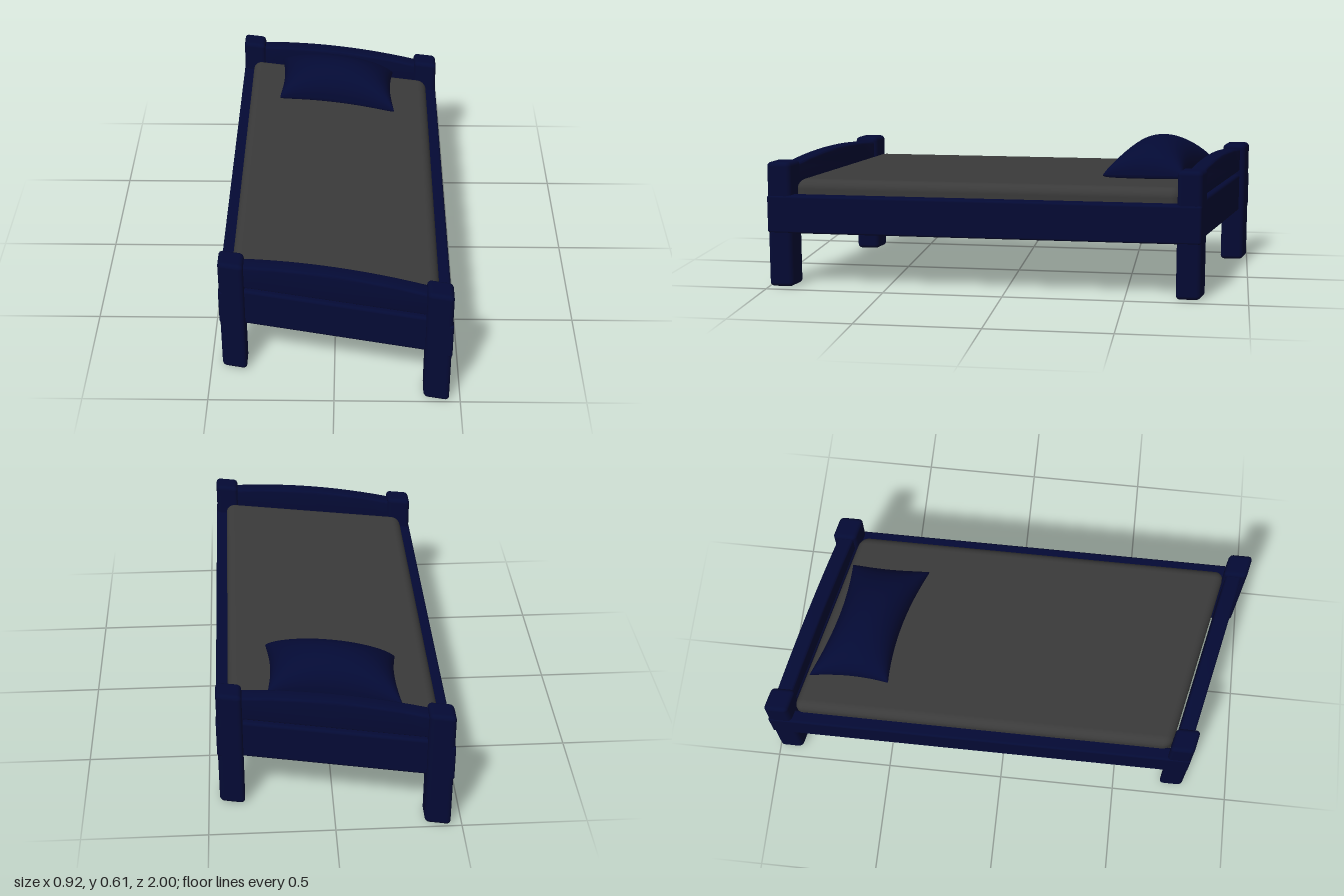
import * as THREE from 'three';
import { RoundedBoxGeometry } from 'three/addons/geometries/RoundedBoxGeometry.js';
import { toCreasedNormals } from 'three/addons/utils/BufferGeometryUtils.js';

const navy = new THREE.MeshStandardMaterial({ color: 0x040a34 });
const grey = new THREE.MeshStandardMaterial({ color: 0x3a3a3a });

// The whole bed is skewed in plan: z grows with x
const SKEW = 0.216;
const skew = new THREE.Matrix4().set(1, 0, 0, 0, 0, 1, 0, 0, SKEW, 0, 1, 0, 0, 0, 0, 1);

function addPart(group, name, geometry, material) {
  geometry.applyMatrix4(skew);
  const mesh = new THREE.Mesh(geometry, material);
  mesh.name = name;
  group.add(mesh);
}

// Rounded box given by its centre x and z, bottom and top y, width and depth
function block(x, z, y0, y1, w, d, r) {
  return new RoundedBoxGeometry(w, y1 - y0, d, 4, r).translate(x, (y0 + y1) / 2, z);
}

// Upper end board with a gently arched top
function archedBoard(z) {
  const bevel = 0.01, w = 0.37 - bevel, depth = 0.066;
  const s = new THREE.Shape();
  s.moveTo(-w, 0.408 + bevel);
  s.lineTo(w, 0.408 + bevel);
  s.lineTo(w, 0.5);
  s.quadraticCurveTo(0, 0.547, -w, 0.5);
  const g = new THREE.ExtrudeGeometry(s, {
    depth: depth - 2 * bevel, bevelThickness: bevel, bevelSize: bevel, bevelSegments: 3, curveSegments: 12,
  });
  return toCreasedNormals(g.translate(0, 0, z - depth / 2 + bevel), 0.6);
}

// Pillow: a domed and a nearly flat sheet sharing a seam, with pinched sides and pointed corners
function pillowGeometry() {
  const n = 32, pos = [], idx = [];
  const index = (side, i, j) => side * (n + 1) ** 2 + i * (n + 1) + j;
  for (const side of [1, -1]) {
    for (let i = 0; i <= n; i++) {
      for (let j = 0; j <= n; j++) {
        // Sine spacing gathers rows near the seam
        const u = Math.sin((i / n - 0.5) * Math.PI), v = Math.sin((j / n - 0.5) * Math.PI);
        const dome = Math.max(0, (1 - u * u) * (1 - v * v));
        const x = -0.007 + u * (0.261 - 0.016 * (1 - v * v));
        const z = -0.612 + v * (0.168 - 0.033 * (1 - u * u));
        const y = side > 0 ? 0.476 + 0.138 * dome ** 0.42 : 0.476 - 0.026 * dome ** 0.2;
        pos.push(x, y, z);
      }
    }
  }
  for (let i = 0; i < n; i++) {
    for (let j = 0; j < n; j++) {
      for (const side of [0, 1]) {
        const a = index(side, i, j), b = index(side, i, j + 1);
        const c = index(side, i + 1, j + 1), d = index(side, i + 1, j);
        if (side === 0) idx.push(a, b, c, a, c, d);
        else idx.push(a, c, b, a, d, c);
      }
    }
  }
  const g = new THREE.BufferGeometry();
  g.setAttribute('position', new THREE.Float32BufferAttribute(pos, 3));
  g.setIndex(idx);
  g.computeVertexNormals();
  return g;
}

export function createModel() {
  const bed = new THREE.Group();
  bed.name = 'bed';

  // Corner posts
  for (const sx of [-1, 1]) {
    for (const sz of [-1, 1]) {
      const name = (sz > 0 ? 'front' : 'back') + (sx > 0 ? 'Left' : 'Right') + 'Post';
      addPart(bed, name, block(sx * 0.405, sz * 0.852, 0, 0.53, 0.101, 0.1, 0.018), navy);
    }
  }

  // Side rails, let into the outer faces of the posts
  for (const sx of [-1, 1]) {
    addPart(bed, sx > 0 ? 'leftRail' : 'rightRail', block(sx * 0.43, 0, 0.231, 0.391, 0.057, 1.804, 0.01), navy);
  }

  // Headboard and footboard, each a lower panel and an arched upper board
  for (const sz of [-1, 1]) {
    const end = sz > 0 ? 'foot' : 'head';
    addPart(bed, end + 'LowerPanel', block(0, sz * 0.847, 0.228, 0.394, 0.74, 0.066, 0.012), navy);
    addPart(bed, end + 'UpperBoard', archedBoard(sz * 0.847), navy);
  }

  // Bedding
  addPart(bed, 'mattress', block(0, 0, 0.3, 0.452, 0.82, 1.61, 0.04), grey);
  addPart(bed, 'pillow', pillowGeometry(), navy);

  return bed;
}
